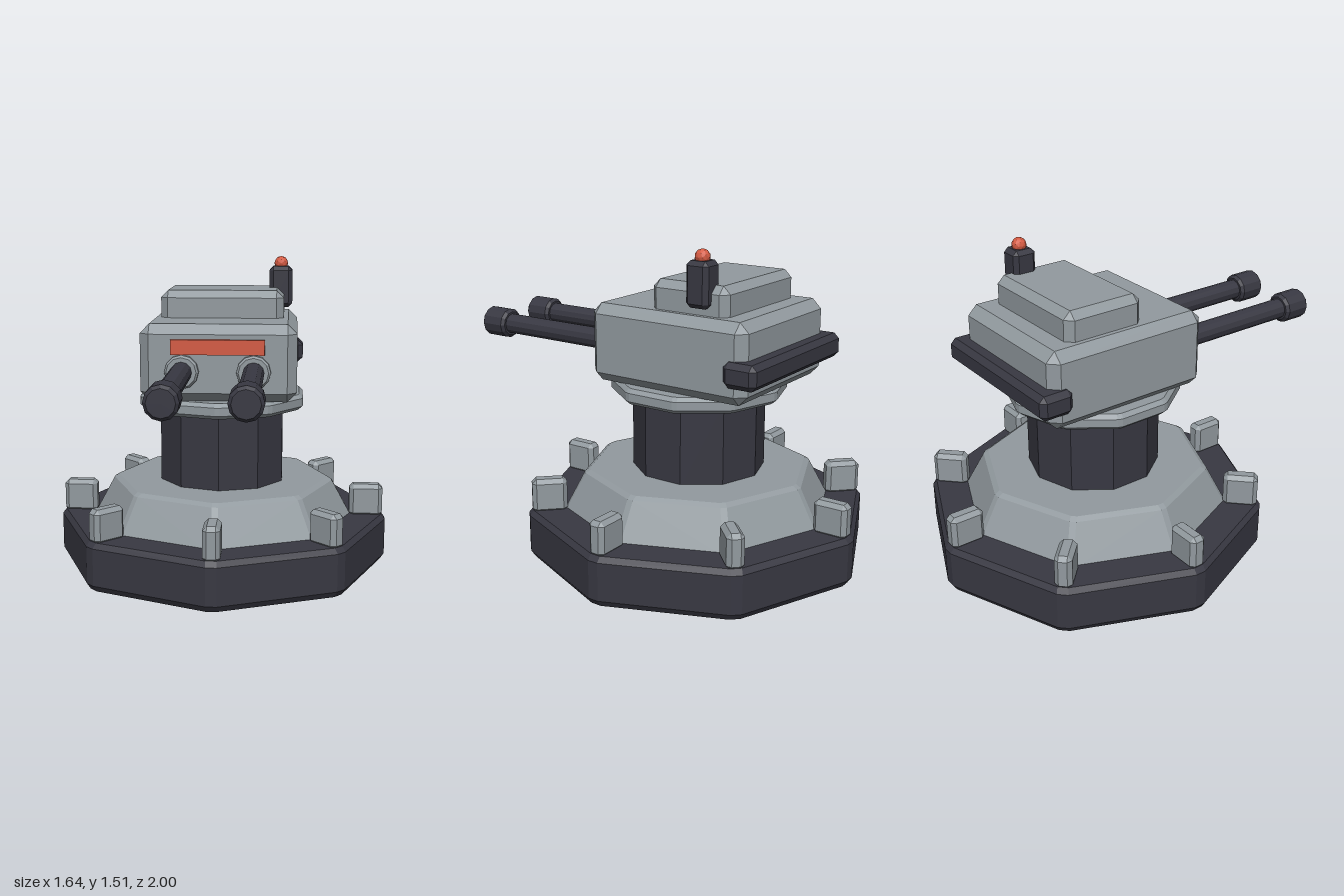
import * as THREE from 'three';
import { ConvexGeometry } from 'three/addons/geometries/ConvexGeometry.js';

const material = (name, color) => {
  const m = new THREE.MeshStandardMaterial({ color, flatShading: true });
  m.name = name;
  return m;
};

// Box with every edge chamfered by c
function chamferBox(w, h, d, c) {
  const pts = [];
  for (const x of [-1, 1]) for (const y of [-1, 1]) for (const z of [-1, 1]) {
    const [a, b, e] = [w / 2, h / 2, d / 2];
    pts.push(new THREE.Vector3(x * a, y * (b - c), z * (e - c)));
    pts.push(new THREE.Vector3(x * (a - c), y * b, z * (e - c)));
    pts.push(new THREE.Vector3(x * (a - c), y * (b - c), z * e));
  }
  return new ConvexGeometry(pts);
}

// Stacked polygon through [radius, height] levels, its corners clipped to half-width k
function clippedPrism(sides, levels, k) {
  const pts = [];
  for (const [r, y] of levels) for (let i = 0; i < sides; i++) {
    const a = (i / sides) * Math.PI * 2;
    for (const s of [-k, k]) {
      pts.push(new THREE.Vector3(
        r * Math.sin(a) + s * Math.cos(a), y, r * Math.cos(a) - s * Math.sin(a)));
    }
  }
  return new ConvexGeometry(pts);
}

// Turned shape along +z through [radius, z] points
function turned(profile, sides) {
  const pts = profile.map(([r, z]) => new THREE.Vector2(r, z));
  return new THREE.LatheGeometry(pts, sides).rotateX(Math.PI / 2);
}

export function createModel() {
  const grey = material('armour grey', 0x929a9f);
  const dark = material('dark metal', 0x383842);
  const red = material('signal red', 0xd45a42);

  const model = new THREE.Group();
  model.name = 'turret';
  const add = (name, geometry, mat, x = 0, y = 0, z = 0, parent = model) => {
    const mesh = new THREE.Mesh(geometry, mat);
    mesh.name = name;
    mesh.position.set(x, y, z);
    parent.add(mesh);
    return mesh;
  };
  const axis = -0.18;

  // Octagonal foot and sloped plinth
  add('base', clippedPrism(8, [[0.8, 0], [0.82, 0.03], [0.82, 0.21], [0.8, 0.235]], 0.025),
    dark, 0, 0, axis);
  add('plinth', clippedPrism(8, [[0.65, 0.22], [0.55, 0.405], [0.525, 0.42]], 0.015),
    grey, 0, 0, axis);

  // Lugs on the eight corners of the base
  const lugGeometry = chamferBox(0.08, 0.165, 0.165, 0.02);
  for (let i = 0; i < 8; i++) {
    const a = (i * Math.PI) / 4;
    add('baseLug', lugGeometry, grey,
      0.722 * Math.sin(a), 0.305, axis + 0.722 * Math.cos(a)).rotation.y = a;
  }

  // Column and turning collar
  add('column', new THREE.CylinderGeometry(0.315, 0.315, 0.4, 10), dark, 0, 0.6, axis);
  add('collar', clippedPrism(10,
    [[0.395, 0.785], [0.415, 0.803], [0.415, 0.842], [0.395, 0.86]], 0.012),
  grey, 0, 0, axis);

  // Head, roof block and rear bar
  add('head', chamferBox(0.735, 0.365, 0.83, 0.045), grey, 0, 1.04, -0.225);
  add('roofBlock', chamferBox(0.6, 0.2, 0.4, 0.035), grey, 0, 1.255, -0.31);
  add('rearBar', chamferBox(0.8, 0.115, 0.165, 0.025), dark, 0, 1.003, -0.63);

  // Visor strip
  add('visor', new THREE.BoxGeometry(0.435, 0.07, 0.03), red, 0, 1.12, 0.195);

  // Beacon on the roof's left edge
  add('beaconPost', chamferBox(0.115, 0.205, 0.115, 0.02), dark, 0.283, 1.358, -0.378);
  add('beaconLight', new THREE.IcosahedronGeometry(0.035, 1), red, 0.283, 1.475, -0.378);

  // Twin guns
  const mount = turned([[0, 0.15], [0.08, 0.15], [0.08, 0.215], [0.07, 0.227], [0, 0.227]], 12);
  const barrel = turned([[0, 0.2], [0.05, 0.2], [0.05, 0.88], [0, 0.88]], 12);
  const muzzle = turned(
    [[0, 0.855], [0.06, 0.855], [0.074, 0.869], [0.074, 0.986], [0.06, 1], [0, 1]], 12);
  for (const side of [-1, 1]) {
    const gun = new THREE.Group();
    gun.name = side > 0 ? 'leftGun' : 'rightGun';
    gun.position.set(side * 0.167, 1.005, 0);
    add('mount', mount, grey, 0, 0, 0, gun);
    add('barrel', barrel, dark, 0, 0, 0, gun);
    add('muzzle', muzzle, dark, 0, 0, 0, gun);
    model.add(gun);
  }

  return model;
}
